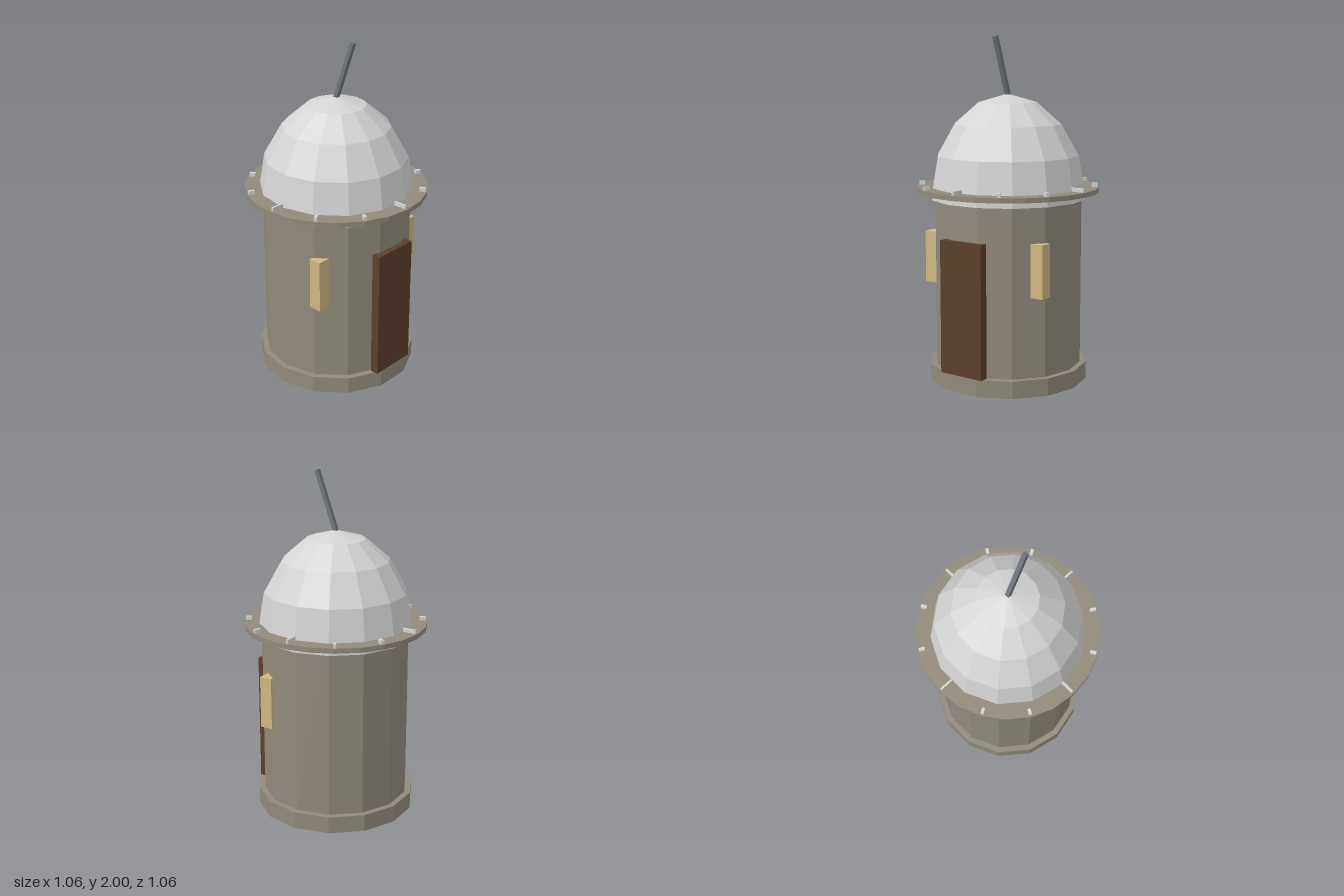
import * as THREE from 'three';

const mat = (name, color) => {
  const m = new THREE.MeshStandardMaterial({ color, flatShading: true });
  m.name = name;
  return m;
};

export function createModel() {
  const group = new THREE.Group();
  const stone = mat('stone', 0x918a7c);
  const domeWhite = mat('domeWhite', 0xd4d4d4);
  const wood = mat('wood', 0x5c3f2b);
  const glow = mat('windowGlow', 0xcfb784);
  const metal = mat('metal', 0x70757e);

  const add = (name, geometry, material, x = 0, y = 0, z = 0) => {
    const mesh = new THREE.Mesh(geometry, material);
    mesh.name = name;
    mesh.position.set(x, y, z);
    group.add(mesh);
    return mesh;
  };

  // Upright prism between two heights, with a corner pointing along +x
  const drum = (name, radius, y0, y1, sides) => {
    const geometry = new THREE.CylinderGeometry(radius, radius, y1 - y0, sides);
    geometry.rotateY(Math.PI / 2);
    return add(name, geometry, stone, 0, (y0 + y1) / 2, 0);
  };

  // Tower
  drum('plinth', 0.465, 0, 0.1, 14);
  drum('wall', 0.43, 0.1, 1.09, 14);
  drum('cornice', 0.53, 1.107, 1.135, 24);

  // Dome
  const profile = [
    [0.42, 1.066], [0.45, 1.066], [0.447, 1.12], [0.414, 1.316],
    [0.312, 1.496], [0.171, 1.619], [0, 1.668],
  ].map(([r, y]) => new THREE.Vector2(r, y));
  const domeGeometry = new THREE.LatheGeometry(profile, 14);
  domeGeometry.rotateY(Math.PI / 2);
  add('dome', domeGeometry, domeWhite);

  // Twelve small ribs on the cornice; the four on the axes are longer and thinner
  for (let i = 0; i < 12; i++) {
    const a = (i * Math.PI) / 6;
    const long = i % 3 === 0;
    const [inner, outer, width] = long ? [0.44, 0.518, 0.012] : [0.486, 0.52, 0.018];
    const r = (inner + outer) / 2;
    const rib = add('corniceRib', new THREE.BoxGeometry(outer - inner, 0.024, width), domeWhite,
      r * Math.cos(a), 1.145, r * Math.sin(a));
    rib.rotation.y = -a;
  }

  // Door and the two window boxes
  add('door', new THREE.BoxGeometry(0.284, 0.765, 0.05), wood, 0, 0.4825, 0.43);
  for (const side of [-1, 1]) {
    add(side > 0 ? 'leftWindow' : 'rightWindow',
      new THREE.BoxGeometry(0.08, 0.304, 0.075), glow, side * 0.374, 0.712, 0.2175);
  }

  // Rod leaning forward from the top of the dome
  const rod = add('rod', new THREE.BoxGeometry(0.026, 0.36, 0.024), metal, 0, 1.827, 0.061);
  rod.rotation.x = THREE.MathUtils.degToRad(20);

  return group;
}
